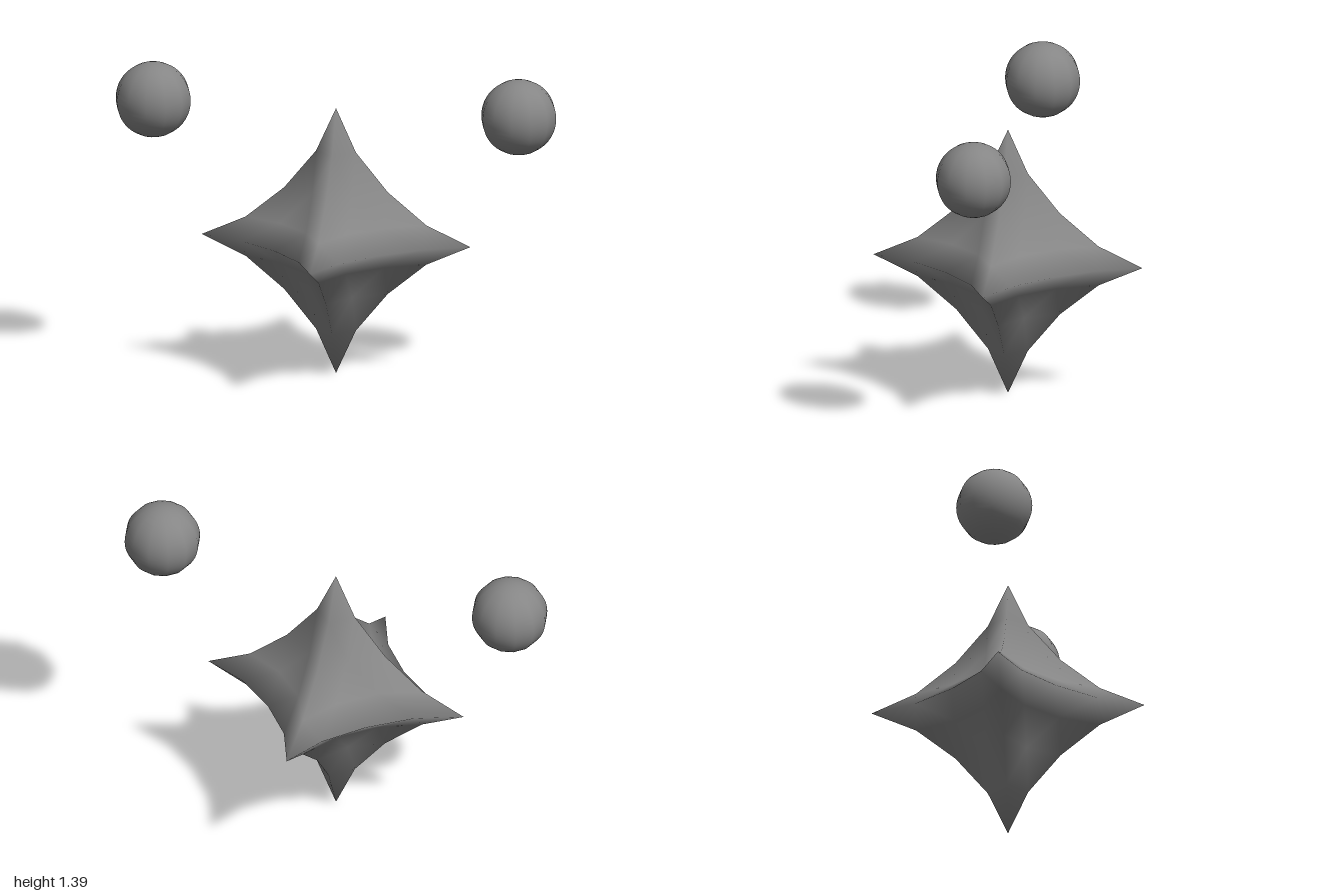
import * as THREE from 'three';
import { mergeVertices } from 'three/addons/utils/BufferGeometryUtils.js';

const R = 0.61;      // centre to tip
const POWER = 0.726; // |x|^p + |y|^p + |z|^p = R^p, below 1 draws the faces inward

// Coarse octahedron pulled into a concave, six-pointed superellipsoid
function starGeometry() {
  const base = new THREE.OctahedronGeometry(1, 3);
  base.deleteAttribute('uv');
  base.deleteAttribute('normal');
  const geo = mergeVertices(base, 1e-4);
  const pos = geo.attributes.position;
  const pull = (c, sum) => Math.sign(c) * R * Math.pow(Math.abs(c) / sum, 1 / POWER);
  for (let i = 0; i < pos.count; i++) {
    const x = pos.getX(i), y = pos.getY(i), z = pos.getZ(i);
    const sum = Math.abs(x) + Math.abs(y) + Math.abs(z);
    pos.setXYZ(i, pull(x, sum), pull(y, sum), pull(z, sum));
  }
  geo.computeVertexNormals(); // smooth across the ridges
  return geo;
}

export function createModel() {
  const group = new THREE.Group();
  const material = new THREE.MeshStandardMaterial({ color: 0x868686 });

  // Star body standing on its lower tip
  const star = new THREE.Mesh(starGeometry(), material);
  star.name = 'starBody';
  star.position.y = R;
  group.add(star);

  // Floating balls on either side, level with the top tip
  const ballGeometry = new THREE.SphereGeometry(0.17, 12, 24);
  for (const side of [-1, 1]) {
    const ball = new THREE.Mesh(ballGeometry, material);
    ball.name = side > 0 ? 'leftBall' : 'rightBall';
    ball.position.set(side * 0.83, 2 * R, 0);
    group.add(ball);
  }
  return group;
}
